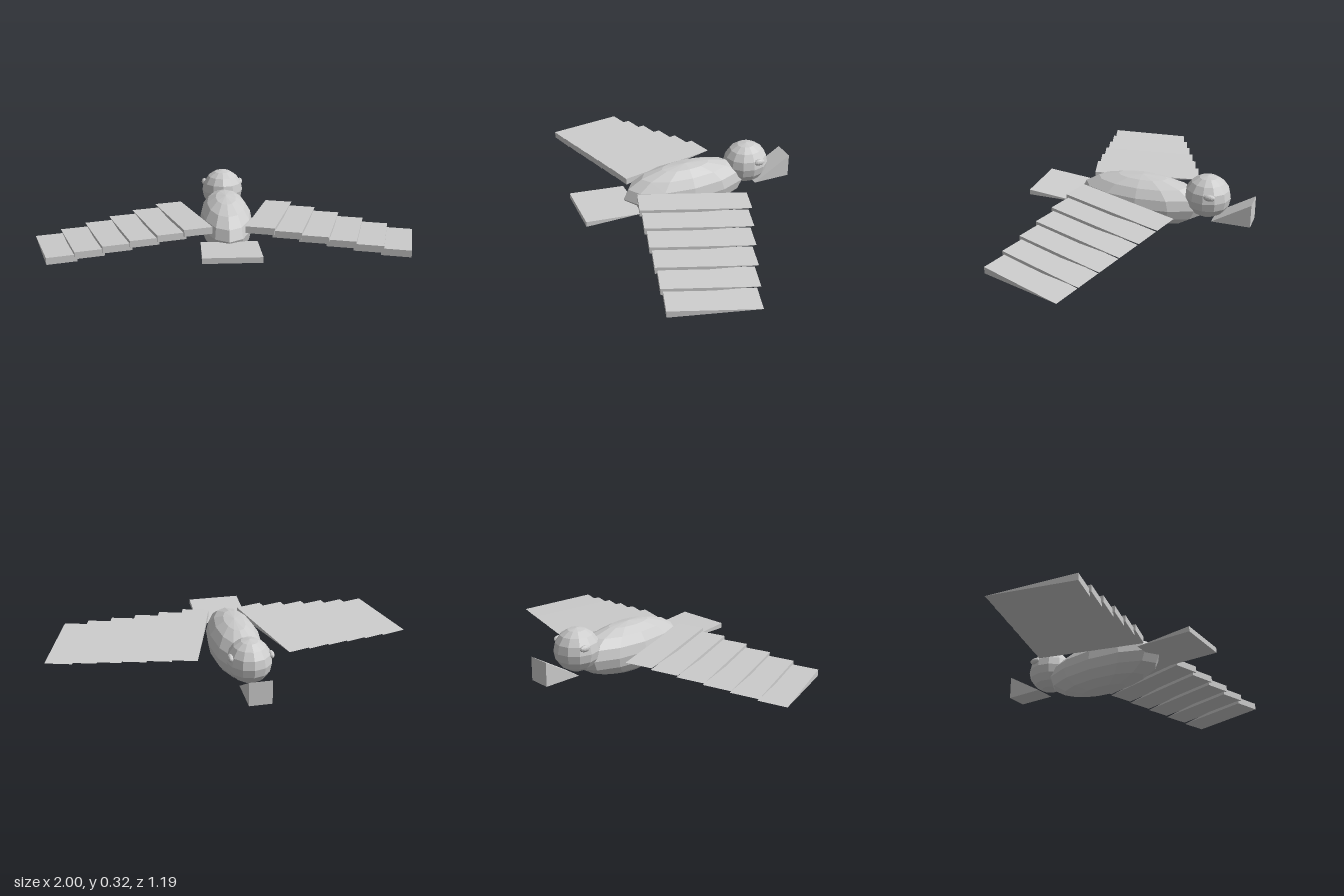
import * as THREE from 'three';

const grey = new THREE.MeshStandardMaterial({ color: 0xcccccc });
grey.name = 'plain grey';
grey.flatShading = true;

// Low-poly ellipsoid with radii rx, ry, rz
function ellipsoid(name, rx, ry, rz, x, y, z) {
  const geo = new THREE.SphereGeometry(1, 12, 8).scale(rx, ry, rz);
  const mesh = new THREE.Mesh(geo, grey);
  mesh.name = name;
  mesh.position.set(x, y, z);
  return mesh;
}

// Wedge with a flat base, sharp at -z and of full height at +z
function wedge(name, width, height, length, x, y, z) {
  const side = new THREE.Shape([
    new THREE.Vector2(-length / 2, 0),
    new THREE.Vector2(length / 2, 0),
    new THREE.Vector2(length / 2, height),
  ]);
  const geo = new THREE.ExtrudeGeometry(side, { depth: width, bevelEnabled: false });
  geo.translate(0, 0, -width / 2).rotateY(-Math.PI / 2);
  const mesh = new THREE.Mesh(geo, grey);
  mesh.name = name;
  mesh.position.set(x, y, z);
  return mesh;
}

// Six overlapping feathers, stepping down and shrinking towards the tip
function wing(name, side) {
  const group = new THREE.Group();
  group.name = name;
  const count = 6;
  for (let i = 0; i < count; i++) {
    const t = i / (count - 1);
    const lerp = (a, b) => THREE.MathUtils.lerp(a, b, t);
    const feather = wedge('feather', 0.147, 0.035, lerp(0.57, 0.432),
      side * lerp(0.231, 0.869), lerp(0.172, 0.09), lerp(0.05, 0.245));
    feather.rotation.y = -side * THREE.MathUtils.degToRad(16);
    group.add(feather);
  }
  return group;
}

export function createModel() {
  const bird = new THREE.Group();
  bird.name = 'bird';

  // Body and head; the head points to -z
  bird.add(ellipsoid('body', 0.14, 0.138, 0.35, 0, 0.14, 0));
  bird.add(ellipsoid('head', 0.114, 0.114, 0.122, 0, 0.209, -0.356));

  // Beak, tallest at its front end
  const beak = wedge('beak', 0.115, 0.125, 0.205, 0, 0.09, -0.495);
  beak.rotation.y = Math.PI;
  bird.add(beak);

  // Tail
  bird.add(wedge('tail', 0.286, 0.028, 0.295, 0, 0.128, 0.45));

  // Eyes and wings on both sides
  for (const side of [-1, 1]) {
    const word = side > 0 ? 'left' : 'right';
    bird.add(ellipsoid(word + 'Eye', 0.015, 0.0175, 0.032, side * 0.102, 0.246, -0.388));
    bird.add(wing(word + 'Wing', side));
  }
  return bird;
}
